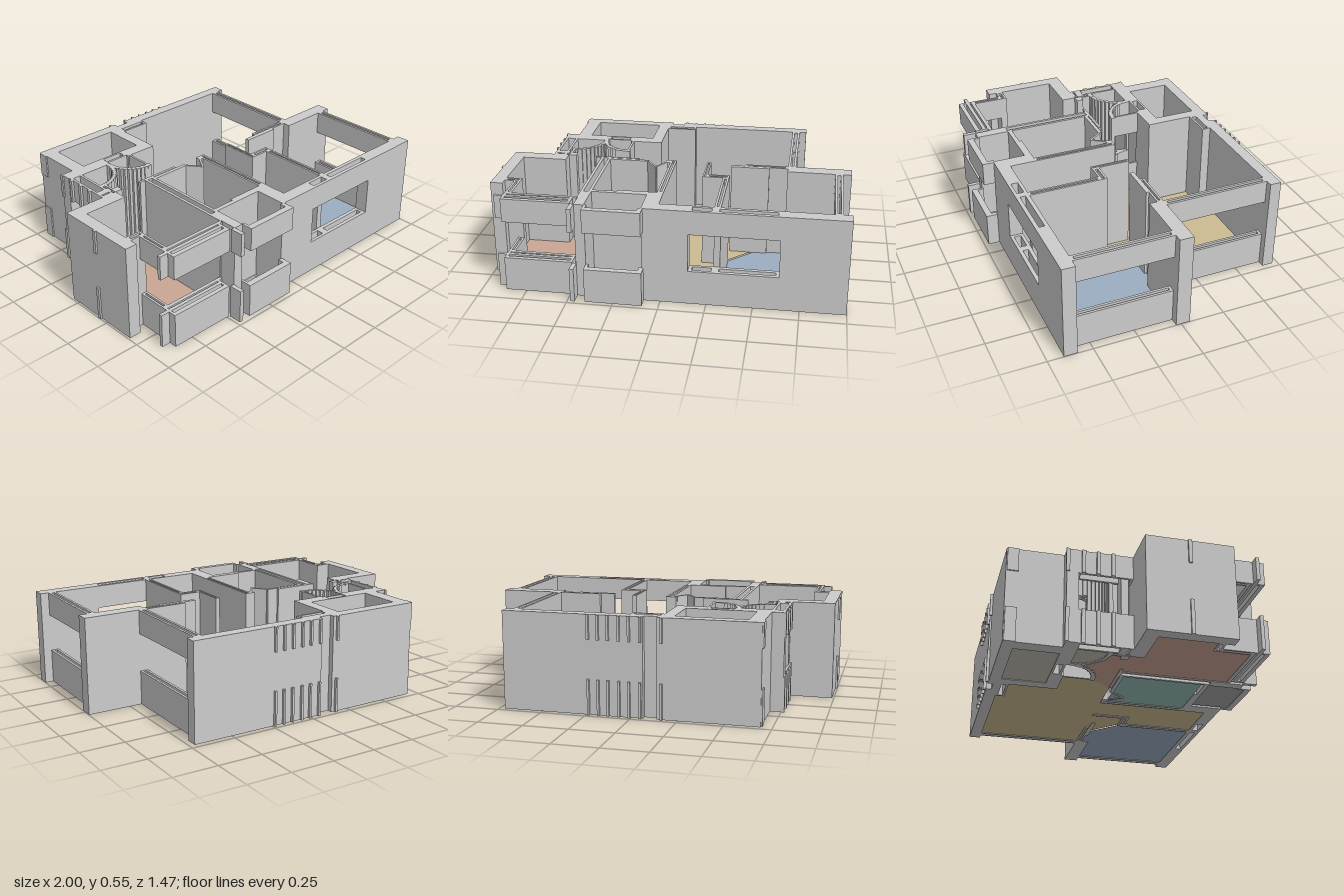
import * as THREE from 'three';

const H = 0.545, SILL = 0.195, HEAD = 0.41;
const FULL = [[0, H]];
const BANDS = [[0, SILL], [HEAD, H]]; // sill and lintel with an opening between

export function createModel() {
  const model = new THREE.Group();
  const wallMat = new THREE.MeshStandardMaterial({ color: 0xcccccc, flatShading: true });

  // Upright block between plan corners, once per height range
  function wall(name, [x0, x1, z0, z1], ranges = FULL, angle = 0) {
    for (const [y0, y1] of ranges) {
      const mesh = new THREE.Mesh(new THREE.BoxGeometry(x1 - x0, y1 - y0, z1 - z0), wallMat);
      mesh.position.set((x0 + x1) / 2, (y0 + y1) / 2, (z0 + z1) / 2);
      mesh.rotation.y = angle;
      mesh.name = name;
      model.add(mesh);
    }
  }

  // Two parallel skins with a cavity, closed at both ends
  function cavityWall(name, [x0, x1, z0, z1], ranges = FULL, t = 0.012) {
    if (x1 - x0 > z1 - z0) {
      wall(name, [x0, x1, z0, z0 + t], ranges);
      wall(name, [x0, x1, z1 - t, z1], ranges);
      for (const x of [x0, x1 - t]) wall(name, [x, x + t, z0 + t, z1 - t], ranges);
    } else {
      wall(name, [x0, x0 + t, z0, z1], ranges);
      wall(name, [x1 - t, x1, z0, z1], ranges);
      for (const z of [z0, z1 - t]) wall(name, [x0 + t, x1 - t, z, z + t], ranges);
    }
  }

  // Thin straight partition between two plan points
  function partition(name, ax, az, bx, bz, t = 0.012) {
    const l = Math.hypot(bx - ax, bz - az), cx = (ax + bx) / 2, cz = (az + bz) / 2;
    wall(name, [cx - l / 2, cx + l / 2, cz - t / 2, cz + t / 2], FULL, -Math.atan2(bz - az, bx - ax));
  }

  // Room floor from plan points
  function floor(name, color, pts) {
    const shape = new THREE.Shape(pts.map(([x, z]) => new THREE.Vector2(x, -z)));
    const mesh = new THREE.Mesh(new THREE.ShapeGeometry(shape).rotateX(-Math.PI / 2),
      new THREE.MeshStandardMaterial({ color, side: THREE.DoubleSide }));
    mesh.position.y = 0.004;
    mesh.name = name;
    model.add(mesh);
  }
  const rect = (x0, x1, z0, z1) => [[x0, z0], [x1, z0], [x1, z1], [x0, z1]];
  const arc = (cx, cz, r, a0, a1, n) => Array.from({ length: n + 1 }, (_, i) => {
    const a = a0 + (a1 - a0) * i / n;
    return [cx + r * Math.cos(a), cz + r * Math.sin(a)];
  });

  // Solid outer walls
  [
    [-0.69, -0.14, -0.72, -0.655], [-0.14, -0.065, -0.69, -0.655], [-0.065, 0.72, -0.72, -0.655],
  ].forEach(p => wall('backWall', p));
  [
    [-0.69, -0.61, -0.655, -0.41], [-0.22, -0.155, -0.655, -0.335], [-0.345, -0.22, -0.41, -0.335],
    [-0.61, -0.49, -0.41, -0.335], [-0.76, -0.61, -0.41, -0.345],
  ].forEach(p => wall('backRoomWall', p));
  [[-0.99, -0.665, -0.05, 0.03], [-0.99, -0.92, 0.03, 0.435]].forEach(p => wall('rightOuterWall', p));
  [[0.635, 0.998, -0.05, 0.03], [0.635, 0.998, 0.585, 0.66]].forEach(p => wall('leftPier', p));
  wall('frontWall', [-0.09, 0.15, 0.585, 0.66]);
  cavityWall('frontWindowWall', [0.15, 0.29, 0.585, 0.66], BANDS, 0.018);
  cavityWall('frontWindowWall', [0.29, 0.64, 0.585, 0.66], BANDS, 0.022);

  // Window walls
  cavityWall('leftBackWindow', [0.635, 0.68, -0.655, -0.05], BANDS, 0.014);
  cavityWall('leftFrontWindow', [0.905, 0.95, 0.03, 0.585], BANDS, 0.014);
  cavityWall('rightBackWindow', [-0.755, -0.68, -0.345, -0.05], BANDS, 0.014);
  wall('rightBackWindowPost', [-0.745, -0.67, -0.115, -0.075]);
  for (const z of [-0.415, -0.33, -0.25, -0.17]) wall('windowFin', [-0.768, -0.755, z, z + 0.02], BANDS);

  // Front room window bay
  cavityWall('bayReturn', [-0.92, -0.83, 0.35, 0.39]);
  cavityWall('baySide', [-0.865, -0.83, 0.39, 0.56], BANDS);
  wall('bayInnerBand', [-0.865, -0.465, 0.555, 0.575], BANDS);
  wall('bayMiddleBand', [-0.915, -0.5, 0.585, 0.605], BANDS);
  wall('bayOuterBand', [-0.865, -0.485, 0.625, 0.65], BANDS);
  wall('bayOuterEnd', [-0.865, -0.85, 0.575, 0.625], BANDS);
  wall('bayOuterEnd', [-0.5, -0.485, 0.575, 0.625], BANDS);
  wall('bayFin', [-0.482, -0.458, 0.655, 0.73], BANDS);

  // Balcony
  wall('balconySide', [-0.46, -0.405, 0.475, 0.66]);
  wall('balconySide', [-0.1, -0.015, 0.435, 0.66]);
  wall('balconyRail', [-0.405, -0.09, 0.69, 0.725], BANDS);
  wall('balconyRailEnd', [-0.405, -0.39, 0.655, 0.69], BANDS);
  wall('balconyRailEnd', [-0.115, -0.09, 0.655, 0.69], BANDS);
  wall('balconyBackWall', [-0.41, -0.1, 0.45, 0.475]);
  wall('balconyBackWall', [-0.27, -0.1, 0.435, 0.45]);

  // Interior walls
  cavityWall('backDoorway', [-0.49, -0.345, -0.41, -0.35]);
  cavityWall('backCorner', [-0.155, 0.02, -0.655, -0.605]);
  cavityWall('bathRightWall', [-0.465, -0.405, -0.05, 0.56], FULL, 0.016);
  cavityWall('bathLeftWall', [-0.05, -0.015, -0.05, 0.435]);
  wall('bathBackWall', [-0.5, -0.24, -0.055, -0.04]);
  wall('bathBackWall', [-0.405, -0.18, -0.035, -0.015]);
  wall('bathBackWall', [-0.075, -0.05, -0.05, -0.015]);
  partition('foldingDoor', -0.18, -0.02, -0.12, 0.06);
  partition('foldingDoor', -0.12, 0.06, -0.07, -0.02);
  cavityWall('hallWall', [0.165, 0.19, -0.05, 0.175], FULL, 0.009);
  cavityWall('hallWall', [0.19, 0.315, 0.135, 0.175]);
  cavityWall('hallWall', [0.28, 0.315, 0.175, 0.585]);
  cavityWall('bedroomBackWall', [0.39, 0.635, -0.05, -0.015]);
  wall('bedroomBackWall', [0.31, 0.53, -0.025, 0.0]);
  wall('closetWall', [-0.68, -0.5, -0.345, -0.33]);
  wall('closetWall', [-0.665, -0.62, -0.09, -0.05]);
  wall('closetWall', [-0.665, -0.652, -0.17, -0.09]);
  wall('closetDoor', [-0.5, -0.487, -0.335, -0.28], BANDS);
  wall('hallDoor', [-0.337, -0.325, -0.335, -0.17], BANDS);

  // Stepped curved doors
  const leftArc = arc(-0.33, -0.335, 0.165, Math.PI, Math.PI / 2, 11);
  const rightArc = arc(-0.675, -0.335, 0.18, 0, Math.PI / 2, 11);
  for (const points of [leftArc, rightArc])
    for (const [x, z] of points)
      wall('curvedDoorStep', [x - 0.012, x + 0.012, z - 0.012, z + 0.012], z < -0.24 ? BANDS : FULL);

  // Fins on the outside
  for (const x of [-0.165, -0.05, 0.01, 0.065, 0.125, 0.18, 0.235])
    wall('backFin', [x - 0.006, x + 0.006, -0.735, -0.72], BANDS);
  wall('sideFin', [-0.698, -0.69, -0.715, -0.655], BANDS);
  wall('sideFin', [-1, -0.99, 0.18, 0.2], BANDS);

  // Floors
  floor('livingFloor', 0xcbbb92, [[-0.155, -0.605], [0.02, -0.605], [0.02, -0.655], [0.635, -0.655], [0.635, -0.03],
    [0.45, -0.015], [0.3, 0.135], [0.28, 0.175], [0.28, 0.585], [-0.02, 0.585], [-0.02, -0.05], [-0.23, -0.05],
    [-0.33, -0.17], [-0.325, -0.335], [-0.155, -0.335]]);
  floor('redRoomFloor', 0xcaa695, [...rightArc.slice().reverse(), ...leftArc.slice(1), [-0.23, -0.05], [-0.465, -0.05],
    [-0.465, 0.56], [-0.83, 0.56], [-0.83, 0.36], [-0.92, 0.36], [-0.92, 0.03], [-0.665, 0.03]]);
  floor('closetFloor', 0xc2bab2, [[-0.675, -0.335], ...rightArc]);
  floor('backRoomFloor', 0xc2bab2, rect(-0.61, -0.22, -0.655, -0.41));
  floor('bathFloor', 0x96bbb6, rect(-0.405, -0.05, -0.02, 0.435));
  floor('balconyFloor', 0xa3a3a4, rect(-0.405, -0.115, 0.475, 0.69));
  floor('blueRoomFloor', 0x9cadc2, [[0.315, 0.135], [0.46, -0.01], [0.635, -0.015], [0.635, 0.03], [0.905, 0.03],
    [0.905, 0.585], [0.315, 0.585]]);

  return model;
}
